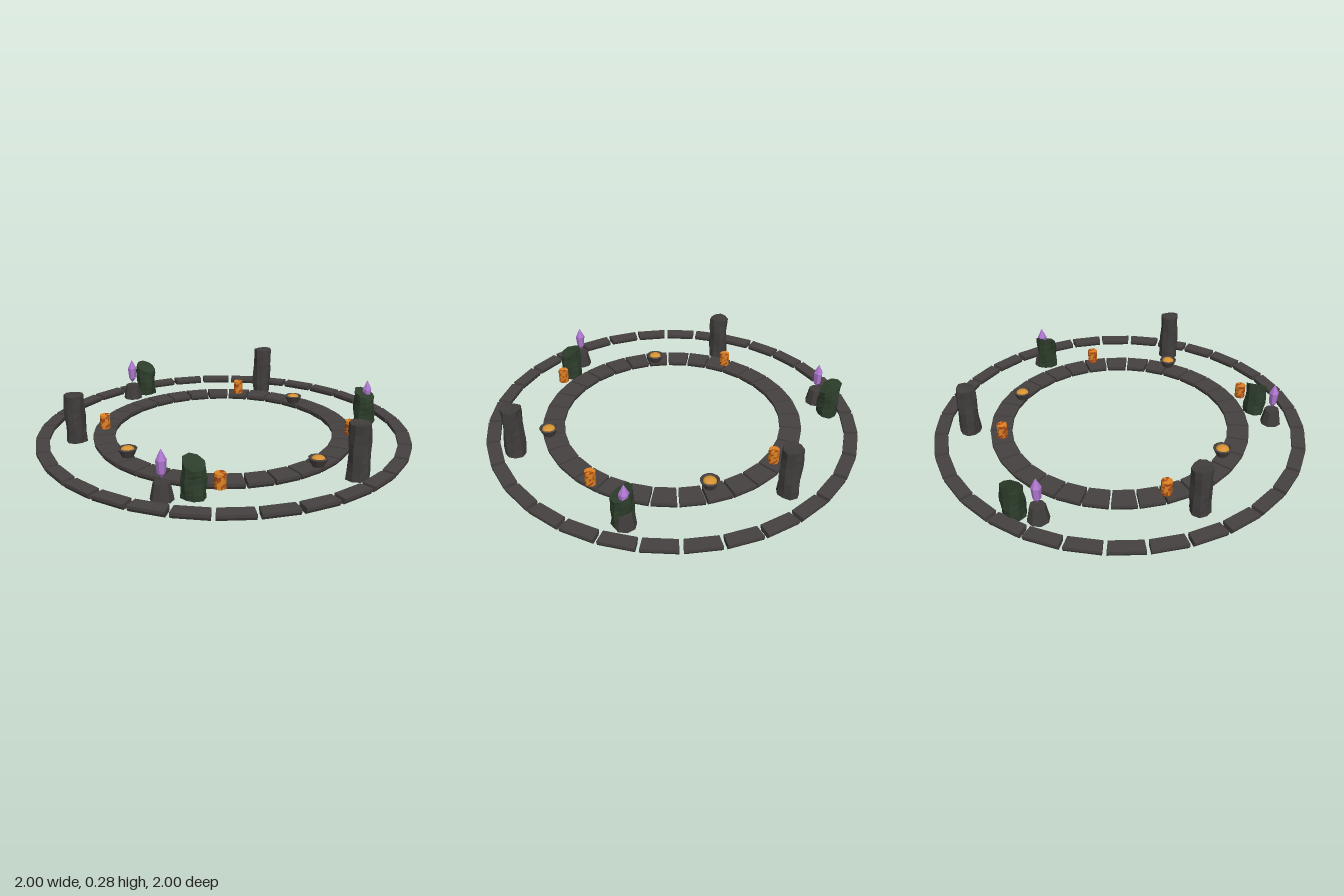
import * as THREE from 'three';

const mat = (name, color) => {
  const m = new THREE.MeshStandardMaterial({ color });
  m.name = name;
  return m;
};

// Facet a geometry so that every face is flat
const facet = (g) => {
  const f = g.index ? g.toNonIndexed() : g;
  f.computeVertexNormals();
  return f;
};

// Move each vertex by a rule
const reshape = (g, rule) => {
  const p = g.attributes.position, v = new THREE.Vector3();
  for (let i = 0; i < p.count; i++) {
    v.fromBufferAttribute(p, i);
    rule(v);
    p.setXYZ(i, v.x, v.y, v.z);
  }
  return facet(g);
};

// Wedge-shaped paving stone, lying at +x, with a slightly undercut base
function brickGeometry(inner, outer, gap, count, height) {
  const g = new THREE.BoxGeometry(outer - inner, height, 1, 1, 2, 1);
  g.translate((inner + outer) / 2, height / 2, 0);
  const mid = (inner + outer) / 2;
  return reshape(g, (v) => {
    if (v.y < 0.001) v.x += v.x > mid ? -0.008 : 0.008;
    v.z = Math.sign(v.z) * (v.x * Math.tan(Math.PI / count) - gap / 2);
  });
}

// Rough round stone column; slope tilts the broken top up towards the back
function columnGeometry(radius, height, seed, slope = 0) {
  const g = new THREE.CylinderGeometry(radius * 0.95, radius, height, 9, 6);
  g.translate(0, height / 2, 0);
  return reshape(g, (v) => {
    const a = Math.atan2(v.z, v.x), t = v.y / height;
    const k = 1 + 0.07 * Math.sin(3 * a + seed + t * 4) + 0.05 * Math.sin(2 * a - t * 9 + seed * 2);
    v.x *= k;
    v.z *= k;
    v.y += t * t * (-v.z * slope + 0.004 * Math.sin(2 * a + seed));
  });
}

export function createModel() {
  const root = new THREE.Group();
  root.name = 'stoneCircle';
  const paving = mat('pavingStone', 0x474242);
  const rock = mat('columnStone', 0x413d3d);
  const moss = mat('mossyStone', 0x2d3d2b);
  const iron = mat('bowlStone', 0x484240);
  const ember = mat('ember', 0xd89434);
  const lava = mat('glowingOrange', 0xe08424);
  const crust = mat('burntOrange', 0xa84c18);
  const violet = mat('violetCrystal', 0xb078d2);

  const add = (parent, name, geometry, material, x = 0, y = 0, z = 0) => {
    const m = new THREE.Mesh(geometry, material);
    m.name = name;
    m.position.set(x, y, z);
    parent.add(m);
    return m;
  };

  // Two rings of paving stones
  const COUNT = 32;
  for (const [name, inner, outer, gap] of [
    ['outerRing', 0.925, 0.996, 0.02],
    ['innerRing', 0.585, 0.7, 0.011],
  ]) {
    const ring = new THREE.Group();
    ring.name = name;
    root.add(ring);
    const g = brickGeometry(inner, outer, gap, COUNT, 0.03);
    for (let i = 0; i < COUNT; i++) {
      add(ring, 'pavingStone', g, paving).rotation.y = ((i + 0.5) / COUNT) * Math.PI * 2;
    }
  }

  // Tall standing columns
  [[-0.645, -0.455, 0.258], [0.705, -0.405, 0.273], [0.075, 0.85, 0.278]].forEach(([x, z, h], i) => {
    add(root, 'tallColumn', columnGeometry(0.055, h, i * 1.7), rock, x, 0, z);
  });

  // Broken mossy columns
  [[0.12, -0.865, 0.175], [-0.615, 0.475, 0.165], [0.71, 0.405, 0.172]].forEach(([x, z, h], i) => {
    add(root, 'mossyColumn', columnGeometry(0.059, h, i * 2.1 + 0.6, 0.45), moss, x, 0, z);
  });

  // Crystals floating above their pedestals
  const pedestal = facet(new THREE.CylinderGeometry(0.039, 0.056, 0.085, 8));
  const crystal = facet(new THREE.LatheGeometry([
    [0, 0], [0.02, 0.027], [0.026, 0.09], [0, 0.143],
  ].map(([x, y]) => new THREE.Vector2(x, y)), 6));
  for (const [x, z] of [[0, -0.845], [-0.735, 0.4], [0.735, 0.4]]) {
    add(root, 'pedestal', pedestal, rock, x, 0.0425, z);
    add(root, 'crystal', crystal, violet, x, 0.1, z);
  }

  // Fire bowls with an ember mound
  const bowl = facet(new THREE.LatheGeometry([
    [0, 0], [0.03, 0], [0.05, 0.042], [0.042, 0.046], [0.035, 0.035], [0, 0.035],
  ].map(([x, y]) => new THREE.Vector2(x, y)), 12));
  const mound = new THREE.SphereGeometry(0.035, 12, 4, 0, Math.PI * 2, 0, Math.PI / 2);
  mound.scale(1, 0.5, 1);
  for (const [x, z] of [[-0.607, -0.04], [0.605, -0.04], [0, 0.672]]) {
    add(root, 'fireBowl', bowl, iron, x, 0.03, z);
    add(root, 'embers', mound, ember, x, 0.065, z);
  }

  // Glowing drums, mottled with darker facets
  const drum = facet(new THREE.CylinderGeometry(0.028, 0.028, 0.075, 10, 5));
  drum.clearGroups();
  for (let i = 0; i < drum.attributes.position.count / 3; i++) {
    const h = Math.sin(i * 12.9898) * 43758.5453;
    drum.addGroup(i * 3, 3, h - Math.floor(h) < 0.33 ? 1 : 0);
  }
  for (const [x, z] of [[-0.47, -0.445], [0.495, -0.405], [0.445, 0.515], [-0.51, 0.535]]) {
    add(root, 'glowingDrum', drum, [lava, crust], x, 0.0675, z);
  }
  return root;
}
